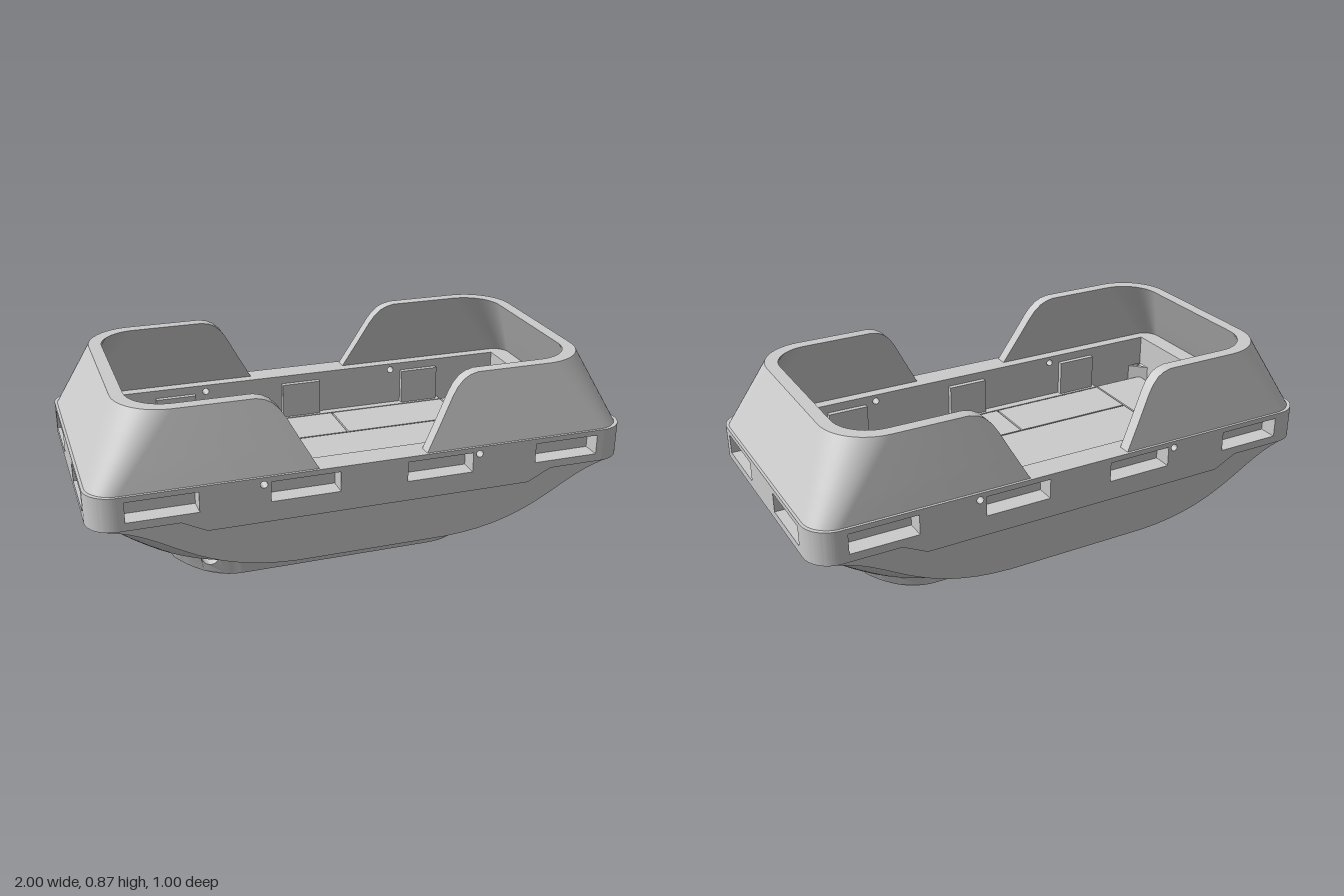
import * as THREE from 'three';
import { mergeGeometries, toCreasedNormals } from 'three/addons/utils/BufferGeometryUtils.js';

const mat = new THREE.MeshStandardMaterial({ color: 0xcccccc, side: THREE.DoubleSide });
const WELL_X = 0.87, WELL_Z = 0.4; // half size of the deck well

function add(parent, name, geo, crease = 0.6) {
  const mesh = new THREE.Mesh(toCreasedNormals(geo, crease), mat);
  mesh.name = name;
  parent.add(mesh);
}

// Surface through rows of [x, y, z] points
function grid(rows) {
  const n = rows[0].length, index = [];
  for (let i = 0; i < rows.length - 1; i++)
    for (let j = 0; j < n - 1; j++) {
      const a = i * n + j, d = a + n;
      index.push(a, a + 1, d + 1, a, d + 1, d);
    }
  const g = new THREE.BufferGeometry();
  g.setAttribute('position', new THREE.Float32BufferAttribute(rows.flat(2), 3));
  g.setIndex(index);
  return g.toNonIndexed();
}

const poly = pts => new THREE.Shape(pts.map(p => new THREE.Vector2(...p)));
const rect = (x0, y0, x1, y1) => poly([[x0, y0], [x1, y0], [x1, y1], [x0, y1]]);
const circle = (x, y, r) => new THREE.Path().absarc(x, y, r, 0, Math.PI * 2);
const extrude = (shape, depth) =>
  new THREE.ExtrudeGeometry(shape, { depth, bevelEnabled: false, curveSegments: 16 });
// Plan shape raised from y0 to y1
const slab = (shape, y0, y1) => extrude(shape, y1 - y0).rotateX(-Math.PI / 2).translate(0, y0, 0);
// Rectangle about the origin with clipped corners
const clipped = (x, z, c) => poly([[c - x, -z], [x - c, -z], [x, c - z], [x, z - c],
  [x - c, z], [c - x, z], [-x, z - c], [-x, c - z]]);
const flip = (pts, sx, sz) => pts.map(([x, y, z]) => [x * sx, y, z * sz]);

// Quarter plan of the hull body at height fraction v, from mid side to the end
function hullQuarter(v) {
  const pts = [], w = 1 - (1 - v) ** 1.4, mix = (a, b, k) => a + (b - a) * k;
  const L = mix(0.87, 0.945, v), W = 0.447;
  const put = (bx, bz, tx, tz) => {
    const by = 0.253 + 0.055 * (Math.max(0, bx * 0.87 - 0.3) / 0.57) ** 2;
    pts.push([L * mix(bx, tx, w), mix(by, 0.475, v), W * mix(bz, tz, w)]);
  };
  put(0, 1, 0, 1);
  for (let i = 0; i <= 32; i++) {
    const s = i / 32, t = s * Math.PI / 2, c = Math.min(1, s / 0.65) * Math.PI / 2;
    const bx = 0.345 + 0.655 * Math.sin(t) ** 0.84;
    const bz = i === 32 ? 0 : Math.cos(t) ** 0.84;
    const tz = s < 0.65 ? 0.84 + 0.16 * Math.cos(c) : 0.84 * (1 - s) / 0.35;
    put(bx, bz, 0.93 + 0.07 * Math.sin(c), tz);
  }
  return pts;
}

function hullSides() {
  const ring = v => {
    const q = hullQuarter(v), r = [...q].reverse();
    return [...q, ...flip(r, 1, -1).slice(1), ...flip(q, -1, -1).slice(1), ...flip(r, -1, 1).slice(1)];
  };
  return grid([0, 0.12, 0.25, 0.38, 0.5, 0.65, 0.8, 1].map(ring));
}

function hullBottom() {
  const q = hullQuarter(0);
  const front = [...flip([...q].reverse(), -1, 1), ...q.slice(1)];
  return grid([flip(front, 1, -1), front]);
}

// Raised wall round one end, with sloping rounded ends at the side gaps
function endWall() {
  const gap = [[0.6, 0.2], [0.7, 0.256], [0.79, 0.305], [0.82, 0.325], [0.845, 0.35], [0.858, 0.375], [0.865, 0.405]];
  const row = (y, xg, inset) => {
    const v = (y - 0.6) / 0.265;
    const L = 0.99 - 0.125 * v - inset, W = 0.49 - 0.05 * v - inset, r = 0.1 + 0.08 * v - inset * 0.8;
    const half = [[xg, y, W]];
    for (let i = 0; i <= 12; i++) {
      const a = i / 12 * Math.PI / 2;
      half.push([L - r + r * Math.sin(a), y, W - r + r * Math.cos(a)]);
    }
    return [...half, ...flip([...half].reverse(), 1, -1)];
  };
  const outer = gap.map(([y, x]) => row(y, x, 0)), inner = gap.map(([y, x]) => row(y, x, 0.047));
  const col = (rows, j) => rows.map(r => r.at(j));
  return mergeGeometries([
    grid([...outer, ...[...inner].reverse(), outer[0]]),
    grid([col(outer, 0), col(inner, 0)]),
    grid([col(inner, -1), col(outer, -1)]),
  ]);
}

// End of the rim band in plan, optionally notched for the two pockets
function rimEnd(notched) {
  const s = new THREE.Shape();
  s.moveTo(WELL_X, -WELL_Z).lineTo(0.9, -WELL_Z).lineTo(0.9, -0.5);
  s.absarc(0.9, -0.4, 0.1, -Math.PI / 2, 0);
  if (notched) for (const z of [-0.25, 0.25])
    s.lineTo(1, z - 0.125).lineTo(0.93, z - 0.125).lineTo(0.93, z + 0.125).lineTo(1, z + 0.125);
  s.lineTo(1, 0.4);
  s.absarc(0.9, 0.4, 0.1, 0, Math.PI / 2);
  s.lineTo(0.9, WELL_Z).lineTo(WELL_X, WELL_Z);
  return s;
}

// Long side of the rim band: pocketed outer layer over a backing layer
function rimSide() {
  const face = rect(-0.9, 0.475, 0.9, 0.6), back = rect(-0.9, 0.475, 0.9, 0.6);
  for (const x of [-0.75, -0.25, 0.25, 0.75])
    face.holes.push(rect(x - 0.125, 0.505, x + 0.125, 0.58));
  for (const x of [-0.4, 0.4])
    for (const s of [face, back]) s.holes.push(circle(x, 0.573, 0.013));
  return mergeGeometries([extrude(face, 0.07).translate(0, 0, 0.43),
    extrude(back, 0.43 - WELL_Z).translate(0, 0, WELL_Z)]);
}

// Side plate whose lower edge sweeps in an S from the rim to the hull bottom
function sidePlate() {
  const s = new THREE.Shape();
  s.moveTo(-0.945, 0.475).bezierCurveTo(-0.73, 0.44, -0.66, 0.265, -0.28, 0.253);
  s.lineTo(0.28, 0.253).bezierCurveTo(0.66, 0.265, 0.73, 0.44, 0.945, 0.475);
  return extrude(s, 0.07).translate(0, 0, 0.42);
}

// Half keel: side-profile pieces, each spread to a width that tapers to a pointed end
function halfKeel() {
  const base = x => x < 0.4 ? 0 : x < 0.64 ? 0.065 * ((x - 0.4) / 0.24) ** 2 : 0.065 + (x - 0.64) * 2;
  const mid = () => 0.15, top = () => 0.288;
  const pieces = [];
  const piece = (x0, x1, low, high) => {
    const xs = Array.from({ length: 7 }, (_, k) => x0 + (x1 - x0) * k / 6);
    const s = poly([...xs.map(x => [x, low(x)]), ...xs.reverse().map(x => [x, high(x)])]);
    if (x0 === 0.45 && low === base) s.holes.push(circle(0.515, 0.082, 0.031));
    pieces.push(extrude(s, 1));
  };
  const cuts = [0, 0.35, 0.4, 0.45, 0.58, 0.61, 0.64, 0.67, 0.71, 0.749];
  for (let i = 0; i < cuts.length - 1; i++) {
    const x0 = cuts[i], x1 = cuts[i + 1];
    if (x1 > 0.67) piece(x0, x1, base, top);
    else {
      piece(x0, x1, base, mid);
      piece(x0, x1, mid, top);
    }
  }
  const g = mergeGeometries(pieces), p = g.attributes.position;
  for (let i = 0; i < p.count; i++) {
    const x = p.getX(i), y = p.getY(i);
    const u = x / (0.64 + (Math.max(y, 0.065) - 0.065) / 2);
    const t = Math.min(1, Math.max(0, (u - 0.55) / 0.45));
    p.setZ(i, (2 * p.getZ(i) - 1) * (0.095 + 0.176 * y) * (1 - t ** 2.5));
  }
  return g;
}

export function createModel() {
  const model = new THREE.Group();
  add(model, 'hullSides', hullSides());
  add(model, 'hullBottom', hullBottom());

  for (const [side, turn] of [['left', 0], ['right', Math.PI]]) {
    const end = new THREE.Group();
    end.name = side + 'End';
    end.rotation.y = turn;
    add(end, 'endWall', endWall(), 0.5);
    add(end, 'rimEnd', mergeGeometries([
      slab(rimEnd(false), 0.475, 0.505), slab(rimEnd(true), 0.505, 0.58), slab(rimEnd(false), 0.58, 0.6)]));
    add(end, 'keelHalf', halfKeel(), 0.8);
    model.add(end);
  }

  for (const [side, turn] of [['front', 0], ['back', Math.PI]]) {
    const group = new THREE.Group();
    group.name = side + 'Side';
    group.rotation.y = turn;
    add(group, 'rimSide', rimSide());
    add(group, 'rimSkirt', extrude(poly([[-0.69, 0.475], [-0.6, 0.43], [0.6, 0.43], [0.69, 0.475]]), 0.06).translate(0, 0, 0.44));
    add(group, 'sidePlate', sidePlate());
    // Thin panels on the well wall
    for (const x of [-0.525, 0, 0.525])
      add(group, 'wellPanel', new THREE.BoxGeometry(0.16, 0.145, 0.02).translate(x, 0.495, WELL_Z - 0.01));
    model.add(group);
  }

  // Deck well: lining, base and planks separated by grooves
  const lining = clipped(WELL_X + 0.01, WELL_Z + 0.01, 0.06);
  lining.holes.push(clipped(WELL_X, WELL_Z, 0.06));
  add(model, 'wellLining', slab(lining, 0.405, 0.475));
  add(model, 'deckBase', slab(clipped(WELL_X, WELL_Z, 0.06), 0.4, 0.41));
  const planks = [[-0.62, -0.148, 0.62, 0.148]];
  for (const s of [-1, 1]) {
    const z0 = s > 0 ? 0.155 : -0.362, z1 = s > 0 ? 0.362 : -0.155;
    planks.push([-0.62, z0, -0.13, z1], [-0.123, z0, 0.123, z1], [0.13, z0, 0.62, z1]);
    planks.push([-0.62, s * 0.384 - 0.016, 0.62, s * 0.384 + 0.016]);
    const x0 = s > 0 ? 0.627 : -0.85, x1 = s > 0 ? 0.85 : -0.627;
    planks.push([x0, -0.37, x1, -0.003], [x0, 0.003, x1, 0.37]);
  }
  add(model, 'deckPlanks', mergeGeometries(planks.map(p => slab(rect(...p), 0.408, 0.426))));
  return model;
}
